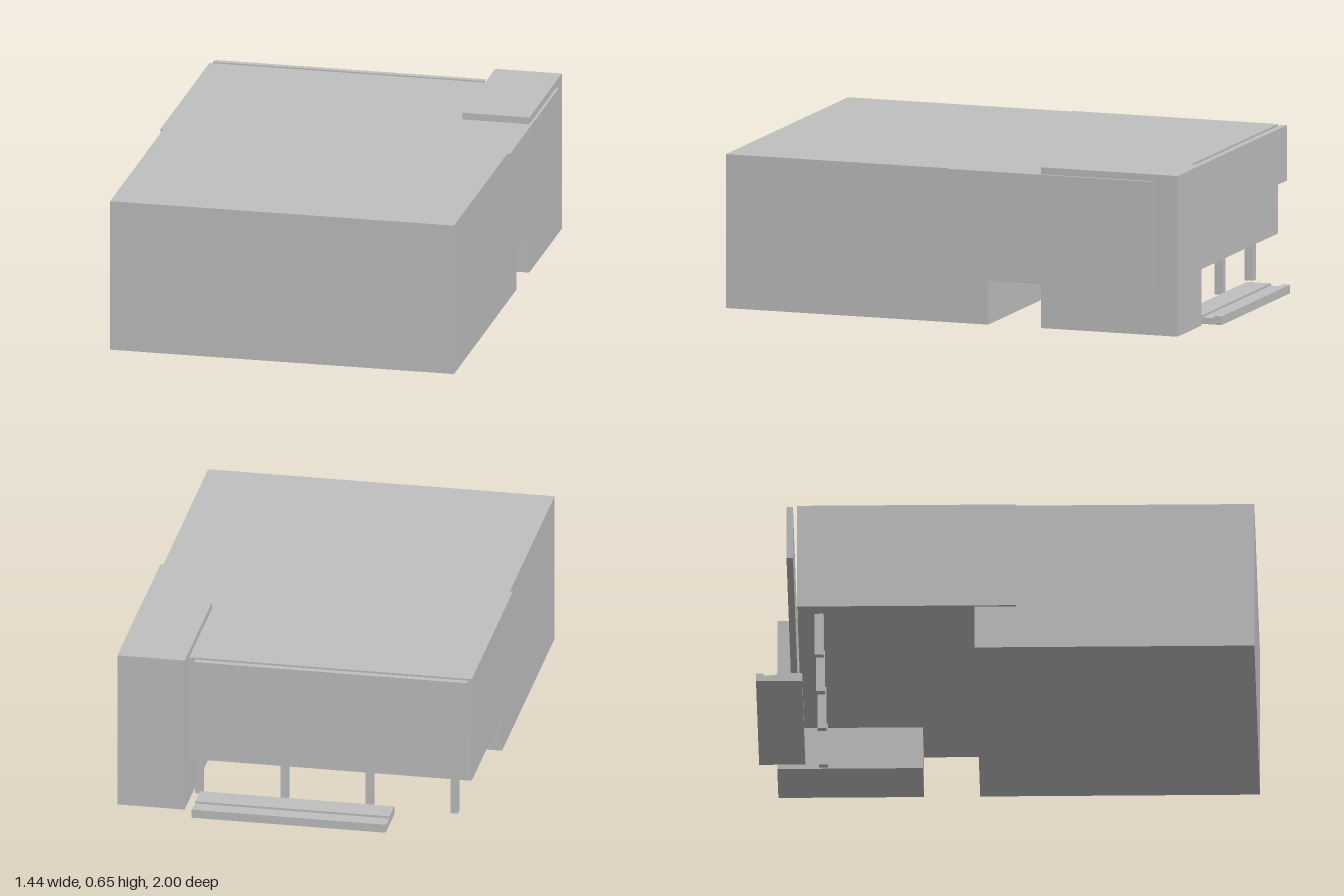
import * as THREE from 'three';

export function createModel() {
  const model = new THREE.Group();
  model.name = 'building';
  const grey = new THREE.MeshStandardMaterial({ color: 0xbfbfbf });
  grey.name = 'concrete grey';

  // Box given by its extents on each axis
  const block = (name, [x0, x1], [y0, y1], [z0, z1]) => {
    const mesh = new THREE.Mesh(new THREE.BoxGeometry(x1 - x0, y1 - y0, z1 - z0), grey);
    mesh.position.set((x0 + x1) / 2, (y0 + y1) / 2, (z0 + z1) / 2);
    mesh.name = name;
    model.add(mesh);
  };

  const W = 0.706, ROOF = 0.625, SOFFIT = 0.18;

  // Main hall: L-shaped side profile, full height in front, overhanging at the back
  const profile = new THREE.Shape([
    [1, 0], [1, ROOF], [-0.83, ROOF], [-0.83, SOFFIT], [-0.12, SOFFIT], [-0.12, 0],
  ].map(([z, y]) => new THREE.Vector2(-z, y)));
  const hallGeometry = new THREE.ExtrudeGeometry(profile, { depth: 2 * W, bevelEnabled: false });
  hallGeometry.translate(0, 0, -W).rotateY(Math.PI / 2);
  const hall = new THREE.Mesh(hallGeometry, grey);
  hall.name = 'mainHall';
  model.add(hall);

  // Stair tower at the back corner
  block('tower', [0.433, W + 0.001], [0, 0.653], [-0.928, -0.345]);

  // Side cladding panels
  block('leftPanel', [W, 0.718], [SOFFIT, ROOF], [-0.83, 0.046]);
  block('rightPanel', [-0.718, -W], [SOFFIT, ROOF], [-0.83, 0.046]);

  // Fascia board standing just clear of the back wall
  block('fasciaBoard', [-W, 0.405], [0.4, ROOF], [-0.873, -0.847]);

  // Row of columns under the overhang
  for (let i = 0; i < 4; i++) {
    const x = -0.634 + i * 0.347;
    block('column', [x - 0.015, x + 0.015], [0, SOFFIT], [-0.761, -0.725]);
  }

  // Low entrance platform with raised strips
  block('platform', [-0.4, 0.392], [0, 0.026], [-0.97, -0.917]);
  block('platformLip', [-0.4, 0.392], [0, 0.035], [-1, -0.97]);
  block('platformStep', [-0.4, 0.392], [0, 0.035], [-0.917, -0.815]);

  return model;
}
